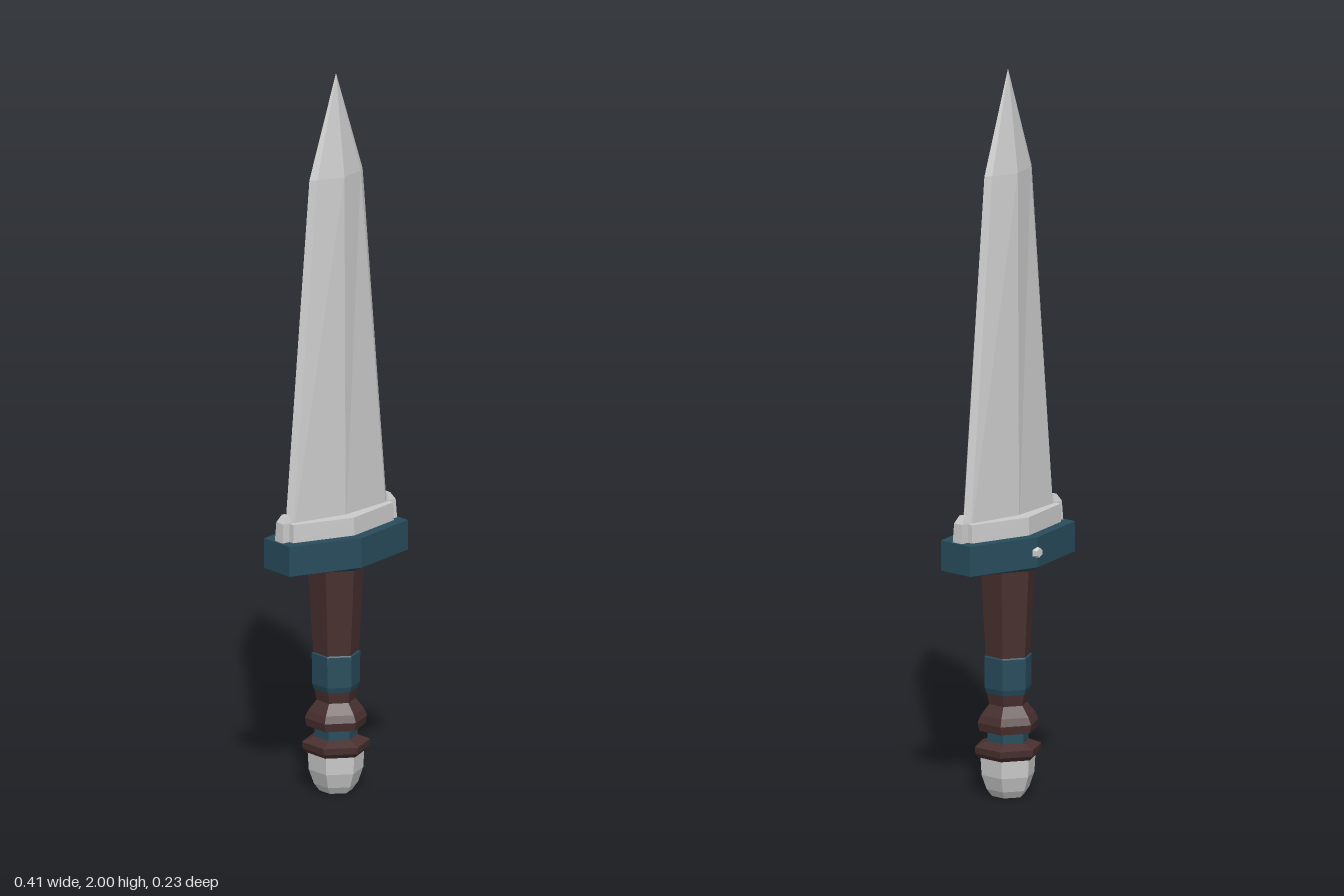
import * as THREE from 'three';

const mat = (color) => new THREE.MeshStandardMaterial({ color, flatShading: true });
const steel = mat(0xcccccc);
const teal = mat(0x284c5c);
const brown = mat(0x48302f);

// Skins a stack of sections {y, pts: [[x, z], ...]}, with capped ends.
function loft(sections) {
  const pos = [];
  const tri = (...corners) => corners.forEach(([s, i]) => {
    const p = s.pts[i % s.pts.length];
    pos.push(p[0], s.y, p[1]);
  });
  const n = sections[0].pts.length;
  for (let k = 0; k < sections.length - 1; k++) {
    const lo = sections[k], hi = sections[k + 1];
    for (let i = 0; i < n; i++) {
      tri([lo, i], [lo, i + 1], [hi, i + 1]);
      tri([lo, i], [hi, i + 1], [hi, i]);
    }
  }
  const bottom = sections[0], top = sections[sections.length - 1];
  for (let i = 1; i < n - 1; i++) {
    tri([bottom, 0], [bottom, i + 1], [bottom, i]);
    tri([top, 0], [top, i], [top, i + 1]);
  }
  const g = new THREE.BufferGeometry();
  g.setAttribute('position', new THREE.Float32BufferAttribute(pos, 3));
  g.computeVertexNormals();
  return g;
}

// Long hexagon: pointed at +-z, flat at +-x.
const hexagon = (y, x, zMid, zEnd) => ({
  y, pts: [[0, zMid], [x, zEnd], [x, -zEnd], [0, -zMid], [-x, -zEnd], [-x, zEnd]],
});

// Blade section: central ridge, wide faces and narrow bevelled edges.
const bladeSection = (y, inner, outer, ridge, bevel) => ({
  y, pts: [[0, ridge], [inner, bevel], [outer, 0], [inner, -bevel],
    [0, -ridge], [-inner, -bevel], [-outer, 0], [-inner, bevel]],
});

const rect = (y, x0, x1, z) => ({ y, pts: [[x0, z], [x1, z], [x1, -z], [x0, -z]] });

export function createModel() {
  const dagger = new THREE.Group();
  dagger.name = 'dagger';
  const body = new THREE.Group();
  body.name = 'daggerBody';
  body.position.z = 0.003;
  dagger.add(body);

  const add = (name, geometry, material) => {
    const m = new THREE.Mesh(geometry, material);
    m.name = name;
    body.add(m);
    return m;
  };
  // Six-sided turned part from [radius, y] pairs
  const turned = (name, profile, material) => add(name, loft(profile.map(([r, y]) =>
    hexagon(y, r * 0.866, r, r / 2))), material);

  // Blade
  add('blade', loft([
    bladeSection(0.73, 0.163, 0.178, 0.041, 0.015),
    bladeSection(1.72, 0.075, 0.092, 0.036, 0.013),
    bladeSection(2.0, 0.0005, 0.001, 0.001, 0.0005),
  ]), steel);

  // Collar at the blade root, with a small block at each end
  add('collar', loft([
    hexagon(0.72, 0.174, 0.078, 0.032),
    hexagon(0.778, 0.172, 0.077, 0.031),
  ]), steel);
  const block = loft([
    rect(0.72, 0.16, 0.198, 0.017),
    rect(0.78, 0.165, 0.194, 0.015),
    rect(0.8, 0.17, 0.18, 0.009),
  ]);
  add('leftCollarBlock', block, steel);
  add('rightCollarBlock', block, steel).rotation.y = Math.PI;

  // Crossguard with a shallow tapered underside
  add('guard', loft([
    hexagon(0.63, 0.075, 0.08, 0.042),
    hexagon(0.645, 0.204, 0.109, 0.054),
    hexagon(0.728, 0.204, 0.109, 0.054),
  ]), teal);

  // Rivet on the back of the guard
  const rivet = add('guardRivet', new THREE.CylinderGeometry(0.012, 0.021, 0.02, 6), steel);
  rivet.rotation.x = -Math.PI / 2;
  rivet.position.set(0, 0.686, -0.107);

  // Grip and its wrapped band
  turned('grip', [[0.052, 0.25], [0.06, 0.29], [0.062, 0.385], [0.077, 0.64]], brown);
  turned('gripBand', [[0.06, 0.285], [0.065, 0.3], [0.066, 0.385], [0.06, 0.39]], teal);

  // Turned rings below the grip
  turned('upperRing', [[0.06, 0.178], [0.08, 0.182], [0.085, 0.205], [0.076, 0.225], [0.052, 0.255]], brown);
  turned('neckBand', [[0.058, 0.14], [0.058, 0.182]], teal);
  turned('lowerRing', [[0.08, 0.108], [0.091, 0.12], [0.093, 0.138], [0.058, 0.152]], brown);

  // Pommel
  turned('pommel', [[0.045, 0], [0.06, 0.02], [0.074, 0.06], [0.077, 0.11]], steel);

  return dagger;
}
